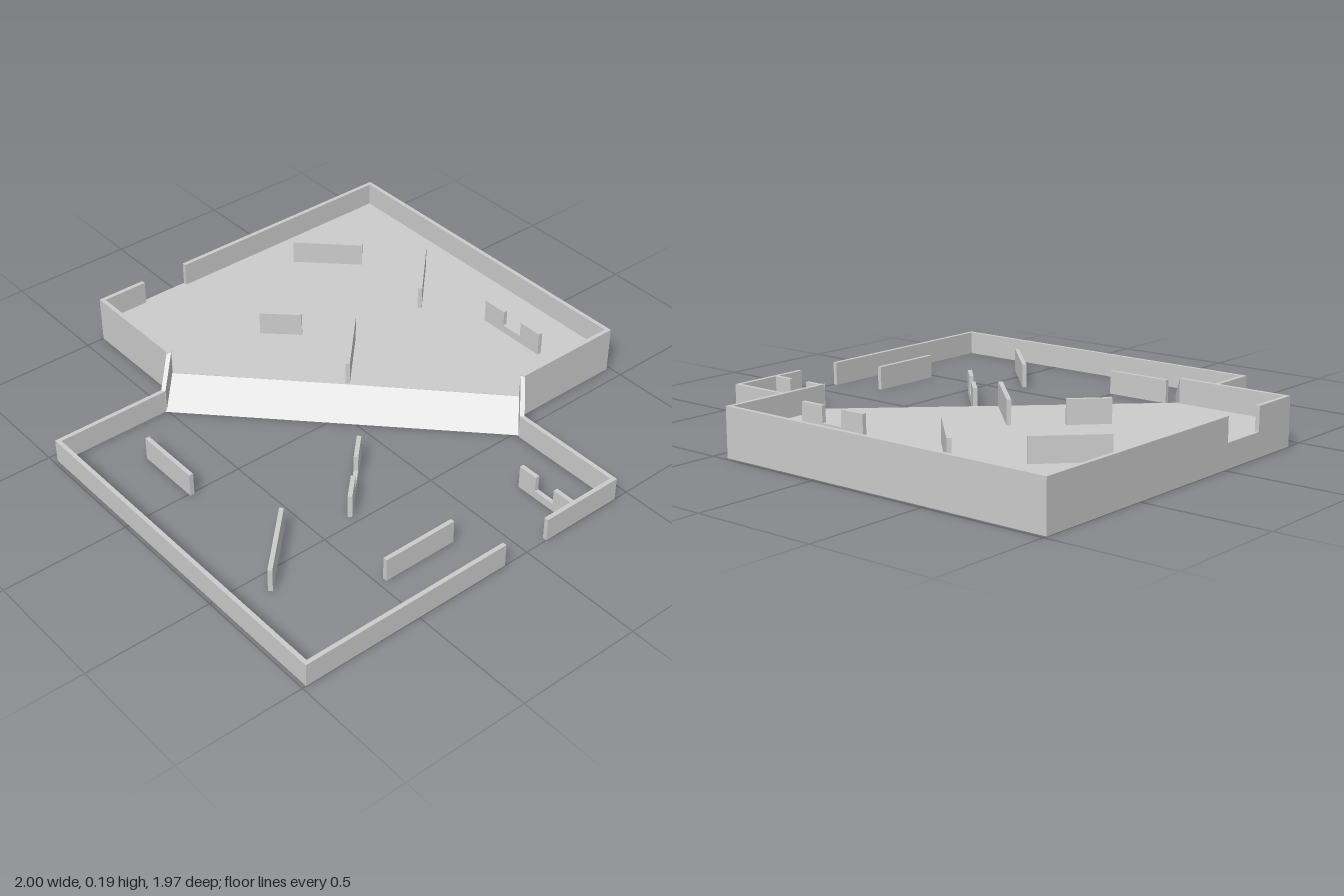
import * as THREE from 'three';

const T = 0.017;      // wall thickness
const H = 0.095;      // deck height, and height of every wall
const material = new THREE.MeshStandardMaterial({ color: 0xcccccc, flatShading: true });

export function createModel() {
  const model = new THREE.Group();

  function add(name, geometry) {
    const mesh = new THREE.Mesh(geometry, material);
    mesh.name = name;
    model.add(mesh);
    return mesh;
  }

  // Upright slab on a plan line a -> b ([x, z]); the top may slope, and may have a notch
  function wall(name, a, b, base, { h0 = H, h1 = H, thick = T, notch } = {}) {
    const dx = b[0] - a[0], dz = b[1] - a[1], length = Math.hypot(dx, dz);
    const shape = new THREE.Shape();
    shape.moveTo(0, 0);
    shape.lineTo(length, 0);
    if (h1 > 0) shape.lineTo(length, h1);
    if (notch) {
      const [s, e] = notch.map(f => f * length);
      shape.lineTo(e, H);
      shape.lineTo(e, H * 0.34);
      shape.lineTo(s, H * 0.34);
      shape.lineTo(s, H);
    }
    shape.lineTo(0, h0);
    shape.closePath();
    const geometry = new THREE.ExtrudeGeometry(shape, { depth: thick, bevelEnabled: false });
    geometry.translate(0, 0, -thick / 2);
    const mesh = add(name, geometry);
    mesh.position.set(a[0], base, a[1]);
    mesh.rotation.y = -Math.atan2(dz, dx);
  }

  // Raised solid deck with a diagonal front edge
  const outline = [[-1, -0.985], [0.44, -0.985], [0.44, -0.52], [-0.54, 0.425], [-1, 0.425]];
  const deck = new THREE.ExtrudeGeometry(
    new THREE.Shape(outline.map(p => new THREE.Vector2(...p))), { depth: H, bevelEnabled: false });
  deck.rotateX(Math.PI / 2).translate(0, H, 0);
  add('upperDeck', deck);

  // Ramp down from the diagonal edge, with sloping walls at both ends
  wall('ramp', [-0.05, -0.0475], [0.035, 0.04], 0, { h1: 0, thick: 1.35 });
  wall('rampWallRight', [0.434, -0.515], [0.526, -0.432], 0, { h0: 2 * H });
  wall('rampWallLeft', [-0.536, 0.418], [-0.457, 0.507], 0, { h0: 2 * H });

  // Upper perimeter, with a doorway on the outer side
  const i = T / 2;
  wall('upperBackWall', [-1, -0.985 + i], [0.44, -0.985 + i], H);
  wall('upperInnerWall', [0.44 - i, -0.985], [0.44 - i, -0.515], H);
  wall('upperFrontWall', [-1, 0.425 - i], [-0.535, 0.425 - i], H);
  wall('upperSideWallBack', [-1 + i, -0.985], [-1 + i, 0.02], H);
  wall('upperSideWallFront', [-1 + i, 0.22], [-1 + i, 0.425], H);

  // Lower perimeter, open floor, with a doorway on the outer side
  wall('lowerBackWall', [0.525, -0.44 + i], [1, -0.44 + i], 0);
  wall('lowerSideWallBack', [1 - i, -0.44], [1 - i, -0.095], 0);
  wall('lowerSideWallFront', [1 - i, 0.105], [1 - i, 0.985], 0);
  wall('lowerFrontWall', [-0.466, 0.985 - i], [1, 0.985 - i], 0);
  wall('lowerInnerWall', [-0.466 + i, 0.505], [-0.466 + i, 0.985], 0);

  // Freestanding barriers: from, to, base height, notch along the length
  const barriers = [
    [[-0.84, -0.43], [-0.64, -0.635], H],
    [[-0.465, -0.825], [-0.245, -0.605], H],
    [[-0.015, -0.757], [0.285, -0.757], H, [0.35, 0.66]],
    [[-0.26, -0.27], [-0.045, -0.06], H],
    [[-0.525, -0.01], [-0.41, -0.13], H],
    [[0.225, 0.11], [0.465, 0.355], 0, [0.36, 0.66]],
    [[0.357, 0.577], [0.583, 0.805], 0],
    [[0.788, 0.16], [0.788, 0.47], 0],
    [[-0.265, 0.715], [0.01, 0.715], 0],
    [[0.73, -0.23], [0.985, -0.23], 0, [0.32, 0.67]],
  ];
  barriers.forEach(([a, b, base, notch], n) => wall(`barrier${n + 1}`, a, b, base, { notch }));

  return model;
}
